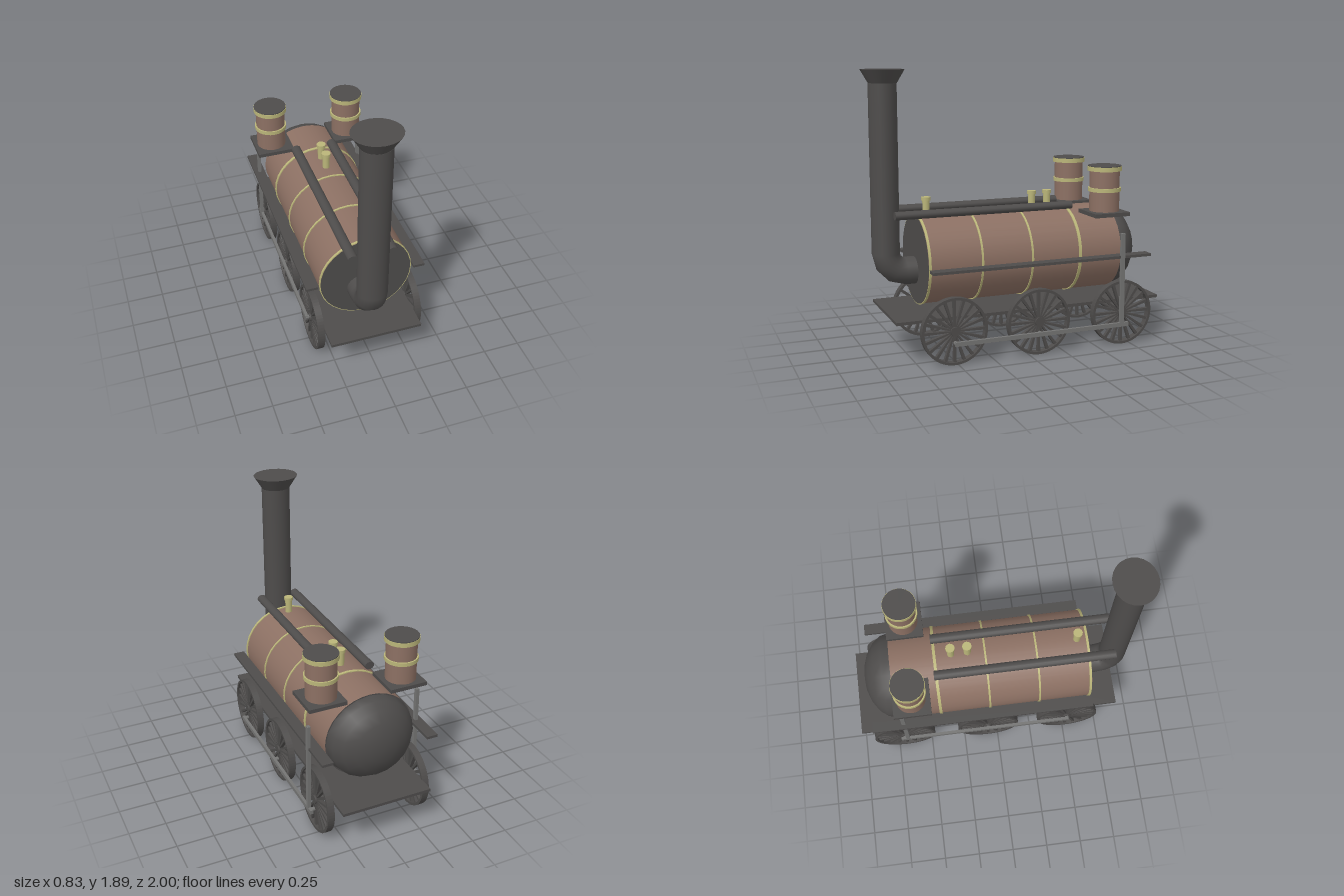
import * as THREE from 'three';

const mat = (name, color, extra = {}) => {
  const m = new THREE.MeshStandardMaterial({ color, ...extra });
  m.name = name;
  return m;
};

export function createModel() {
  const iron = mat('darkIron', 0x4e4c4b);
  const steel = mat('rodSteel', 0x747473);
  const wood = mat('woodLagging', 0x8c7063);
  const brass = mat('paleBrass', 0xbab579);
  const model = new THREE.Group();
  model.name = 'steamLocomotive';

  const add = (parent, name, geo, material, x = 0, y = 0, z = 0) => {
    const mesh = new THREE.Mesh(geo, material);
    mesh.name = name;
    mesh.position.set(x, y, z);
    parent.add(mesh);
    return mesh;
  };
  const group = (name, x = 0, y = 0, z = 0) => {
    const g = new THREE.Group();
    g.name = name;
    g.position.set(x, y, z);
    model.add(g);
    return g;
  };
  const box = (w, h, d) => new THREE.BoxGeometry(w, h, d);
  const cyl = (r, h, n = 24, r2 = r) => new THREE.CylinderGeometry(r, r2, h, n);
  const cylZ = (r, h, n = 24) => cyl(r, h, n).rotateX(Math.PI / 2);
  const cylX = (r, h, n = 24) => cyl(r, h, n).rotateZ(Math.PI / 2);

  // Boiler barrel with iron front plate, brass bands and domed back
  const boiler = group('boiler', -0.008, 0.637, 0);
  boiler.scale.x = 1.04;
  add(boiler, 'boilerBarrel', cylZ(0.298, 1.38, 32), [wood, iron, iron], 0, 0, -0.02);
  for (const [z, w] of [[0.66, 0.016], [0.303, 0.013], [-0.05, 0.013], [-0.4, 0.02]]) {
    add(boiler, 'boilerBand', cylZ(0.304, w, 32), brass, 0, 0, z);
  }
  const dome = new THREE.SphereGeometry(0.292, 20, 5, 0, Math.PI * 2, 0, Math.PI / 2);
  dome.rotateX(-Math.PI / 2).scale(1, 1, 0.7);
  add(boiler, 'boilerDome', dome, iron, 0, 0, -0.708);

  // Chimney: stub from the boiler, elbow, tall pipe and flared top
  const chimney = group('chimney', -0.036, 0, 0);
  chimney.scale.x = 1.1;
  const elbow = new THREE.TorusGeometry(0.127, 0.092, 24, 3, Math.PI / 2);
  elbow.rotateZ(-Math.PI / 2).rotateY(-Math.PI / 2);
  add(chimney, 'chimneyElbow', elbow, iron, 0, 0.685, 0.735);
  add(chimney, 'chimneyStub', cylZ(0.092, 0.085), iron, 0, 0.558, 0.6925);
  add(chimney, 'chimneyPipe', cyl(0.092, 1.115), iron, 0, 1.2425, 0.862);
  add(chimney, 'chimneyFlare', cyl(0.143, 0.088, 24, 0.092), iron, 0, 1.844, 0.86);

  // Steam pipes along the top of the boiler
  for (const x of [-0.157, 0.108]) {
    const pipe = add(model, 'steamPipe', cylZ(0.028, 1.25, 16), iron, x, 0.955, 0.21);
    pipe.scale.x = 1.2;
  }

  // Brass valves on the boiler crown
  for (const z of [0.59, -0.17, -0.285]) {
    const valve = group('valve', -0.008, 0, z);
    add(valve, 'valveStem', cyl(0.025, 0.13, 12), brass, 0, 0.975, 0);
    add(valve, 'valveCap', cyl(0.032, 0.022, 12), brass, 0, 1.039, 0);
  }

  // Upright cylinders on square shelves
  for (const x of [-0.292, 0.274]) {
    const c = group('steamCylinder', x, 0, -0.588);
    add(c, 'cylinderBody', cyl(0.102, 0.3), wood, 0, 1.08, 0);
    add(c, 'cylinderMiddleRing', cyl(0.112, 0.026), brass, 0, 1.078, 0);
    add(c, 'cylinderTopRing', cyl(0.116, 0.03), brass, 0, 1.22, 0);
    add(c, 'cylinderLid', cyl(0.113, 0.008), iron, 0, 1.236, 0);
    add(c, 'cylinderShelf', box(0.26, 0.026, 0.258), iron, x < 0 ? 0.005 : 0.006, 0.917, 0.002);
  }

  // Deck plate and side rails
  add(model, 'deckPlate', box(0.624, 0.02, 1.89), iron, -0.002, 0.296, -0.055);
  for (const x of [-0.375, 0.365]) {
    add(model, 'sideRail', box(0.077, 0.018, 1.56), iron, x, 0.622, -0.108);
  }

  // Spoked wheels on axles
  const rimShape = new THREE.Shape().absarc(0, 0, 0.223, 0, Math.PI * 2);
  rimShape.holes.push(new THREE.Path().absarc(0, 0, 0.206, 0, Math.PI * 2, true));
  const rim = new THREE.ExtrudeGeometry(rimShape, { depth: 0.046, bevelEnabled: false, curveSegments: 32 });
  rim.translate(0, 0, -0.023).rotateY(Math.PI / 2);
  const spokeShape = new THREE.Shape([
    new THREE.Vector2(0.02, -0.005), new THREE.Vector2(0.21, -0.01),
    new THREE.Vector2(0.21, 0.01), new THREE.Vector2(0.02, 0.005),
  ]);
  const spoke = new THREE.ExtrudeGeometry(spokeShape, { depth: 0.026, bevelEnabled: false });
  spoke.translate(0, 0, -0.013).rotateY(Math.PI / 2);
  const spokes = 20;
  for (const z of [0.52, -0.07, -0.69]) {
    add(model, 'axle', cylX(0.027, 0.69, 16), iron, 0.008, 0.23, z);
    for (const x of [-0.334, 0.35]) {
      const wheel = group('wheel', x, 0.225, z);
      add(wheel, 'wheelRim', rim, iron);
      add(wheel, 'wheelHub', cylX(0.03, 0.046, 16), iron);
      for (let i = 0; i < spokes; i++) {
        add(wheel, 'wheelSpoke', spoke, iron).rotation.x = (i / spokes) * Math.PI * 2;
      }
    }
  }

  // Coupling rods and upright drive rods, at different heights on each side
  for (const [x, y] of [[-0.373, 0.23], [0.4, 0.15]]) {
    const rods = group('driveRods', x, y, 0);
    add(rods, 'couplingRod', box(0.02, 0.028, 1.25), steel, 0, 0, -0.095);
    add(rods, 'uprightRod', box(0.022, 0.65, 0.028), steel, 0, 0.311, -0.67);
    for (const z of [0.52, -0.07, -0.69]) {
      add(rods, 'crankPin', cylX(0.014, 0.04, 10), steel, x < 0 ? 0.012 : -0.012, 0, z);
    }
  }
  return model;
}
